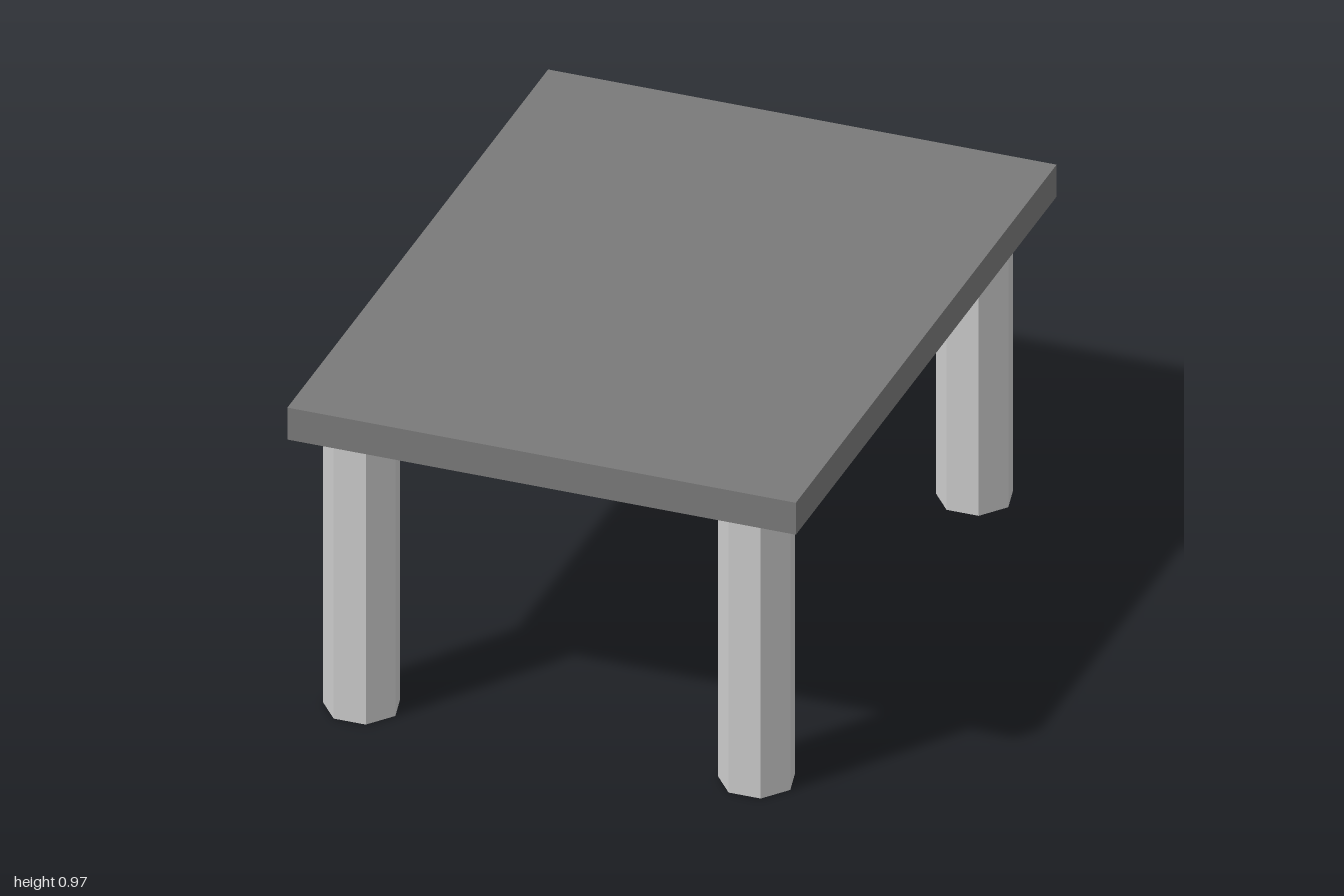
import * as THREE from 'three';

const TOP_Y = 0.97, LEG_HEIGHT = 0.87;

export function createModel() {
  const table = new THREE.Group();
  table.name = 'table';
  const topMaterial = new THREE.MeshStandardMaterial({ color: 0x7a7a7a });
  const legMaterial = new THREE.MeshStandardMaterial({ color: 0xcccccc, flatShading: true });

  // Flat slab
  const slabHeight = TOP_Y - LEG_HEIGHT;
  const top = new THREE.Mesh(new THREE.BoxGeometry(1.482, slabHeight, 2), topMaterial);
  top.name = 'tableTop';
  top.position.y = LEG_HEIGHT + slabHeight / 2;
  table.add(top);

  // Seven-sided legs, a flat face to the front and a corner to the back
  const legGeometry = new THREE.CylinderGeometry(0.108, 0.108, LEG_HEIGHT, 7, 1, false, Math.PI);
  for (const [side, x] of [['Right', -0.574], ['Left', 0.577]]) {
    for (const [end, z] of [['front', 0.864], ['back', -0.808]]) {
      const leg = new THREE.Mesh(legGeometry, legMaterial);
      leg.name = `${end}${side}Leg`;
      leg.position.set(x, LEG_HEIGHT / 2, z);
      table.add(leg);
    }
  }
  return table;
}
